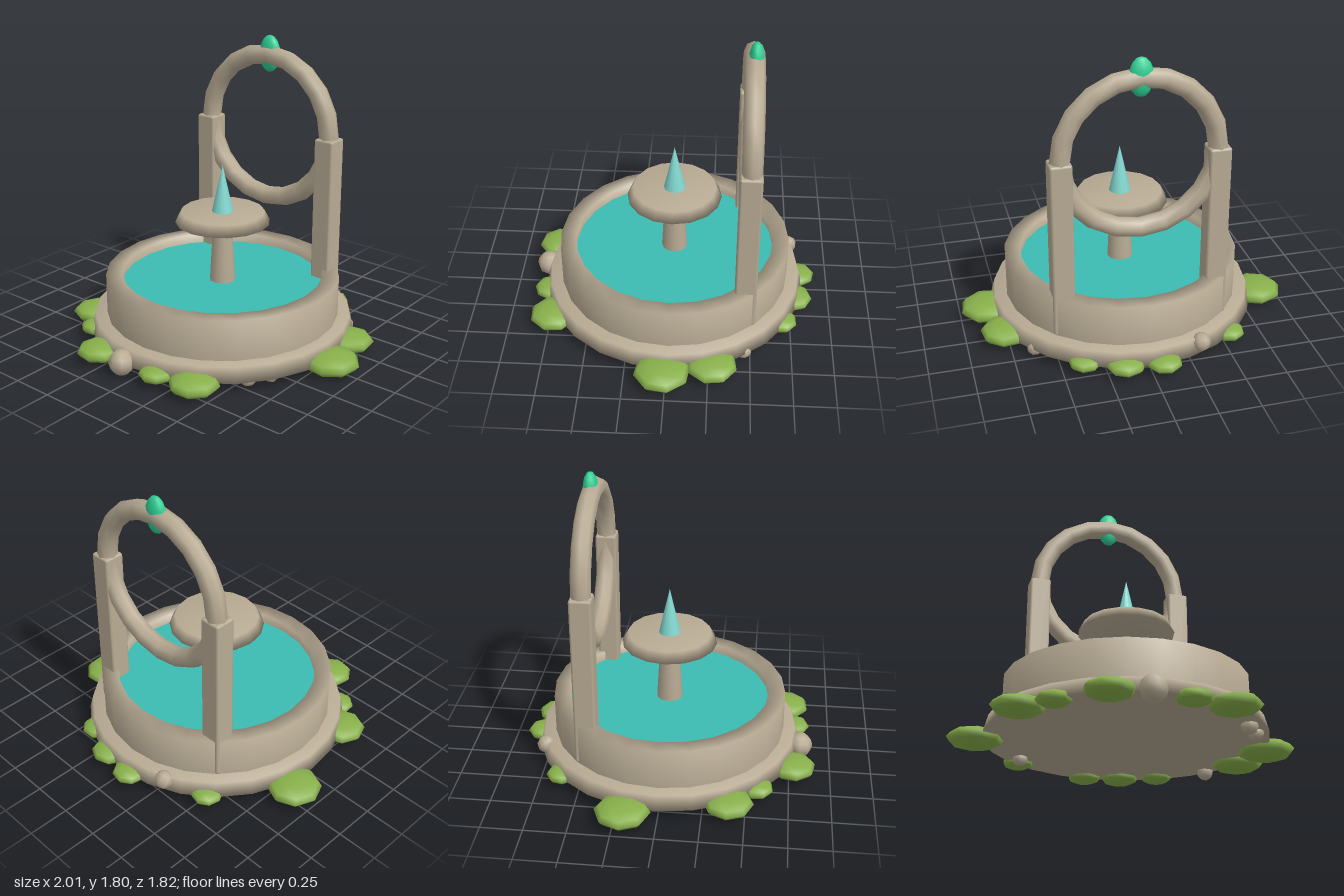
import * as THREE from 'three';
import { RoundedBoxGeometry } from 'three/addons/geometries/RoundedBoxGeometry.js';

const material = (name, color) => {
  const m = new THREE.MeshStandardMaterial({ color });
  m.name = name;
  return m;
};

export function createModel() {
  const stone = material('stone', 0xb8ab94);
  const water = material('water', 0x3cbcb2);
  const spray = material('spray', 0x82d8d0);
  const gemGreen = material('gemGreen', 0x2ecf94);
  const leafGreen = material('leafGreen', 0x88b04b);

  const model = new THREE.Group();
  model.name = 'gardenFountain';
  const add = (name, geometry, mat, x = 0, y = 0, z = 0) => {
    const mesh = new THREE.Mesh(geometry, mat);
    mesh.name = name;
    mesh.position.set(x, y, z);
    model.add(mesh);
    return mesh;
  };
  const lathe = (profile, sides) =>
    new THREE.LatheGeometry(profile.map(([r, y]) => new THREE.Vector2(r, y)), sides);

  // Everything round shares this slightly offset axis
  const cx = -0.01, cz = -0.012;

  // Plinth and basin wall with softly shaded rims
  add('plinth', lathe([[0, 0.07], [0.82, 0.07], [0.795, 0.16], [0.6, 0.16]], 24), stone, cx, 0, cz);
  add('basin', lathe([[0.72, 0.15], [0.72, 0.41], [0.62, 0.41], [0.62, 0.3]], 24), stone, cx, 0, cz);
  add('waterSurface', new THREE.CircleGeometry(0.625, 24).rotateX(-Math.PI / 2), water, cx, 0.35, cz);

  // Central pedestal, bowl and jet
  add('pedestal', new THREE.CylinderGeometry(0.062, 0.082, 0.36, 12), stone, cx, 0.49, cz);
  add('bowl', lathe([[0, 0.65], [0.075, 0.65], [0.29, 0.735], [0.255, 0.8], [0, 0.8]], 16), stone, cx, 0, cz);
  add('waterJet', new THREE.ConeGeometry(0.066, 0.29, 12), spray, cx, 0.945, cz);

  // Ring held between two pillars, with a gem at its top
  const ringZ = -0.463;
  add('ring', new THREE.TorusGeometry(0.456, 0.06, 8, 20), stone, cx, 1.235, ringZ);
  for (const side of [-1, 1]) {
    add(side > 0 ? 'leftPillar' : 'rightPillar',
      new RoundedBoxGeometry(0.13, 1.08, 0.13, 1, 0.014), stone, cx + side * 0.458, 0.7, ringZ + 0.002);
  }
  add('gem', new THREE.SphereGeometry(1, 12, 8), gemGreen, cx, 1.695, -0.47).scale.set(0.072, 0.115, 0.046);

  // Flattened shrubs around the foot: x, z, radius
  const shrubs = [
    [-0.85, -0.2, 0.165], [0.76, -0.27, 0.155], [0.83, 0.02, 0.17], [-0.71, 0.4, 0.15],
    [-0.55, 0.56, 0.1], [-0.31, 0.77, 0.14], [0.14, 0.77, 0.105], [0.38, 0.72, 0.15],
    [-0.07, -0.81, 0.105], [0.15, -0.77, 0.12], [0.37, -0.69, 0.1], [-0.53, -0.61, 0.095],
  ];
  shrubs.forEach(([x, z, r], i) => {
    const shrub = add('shrub' + (i + 1), new THREE.SphereGeometry(1, 8, 6), leafGreen, x, 0.073, z);
    shrub.scale.set(r, 0.018 + r * 0.24, r);
    shrub.rotation.y = i * 1.3;
  });

  // Loose pebbles: x, y, z, radius
  const pebbles = [
    [-0.09, 0.085, 0.815, 0.078], [-0.31, 0.13, -0.75, 0.056], [0.64, 0.06, 0.35, 0.045],
    [0.56, 0.06, 0.46, 0.05], [0.62, 0.06, -0.46, 0.05], [-0.54, 0.06, -0.48, 0.045],
  ];
  pebbles.forEach(([x, y, z, r], i) => {
    const pebble = add('pebble' + (i + 1), new THREE.SphereGeometry(r, 8, 6), stone, x, y, z);
    pebble.rotation.set(i * 0.7, i * 1.1, 0);
  });

  return model;
}
